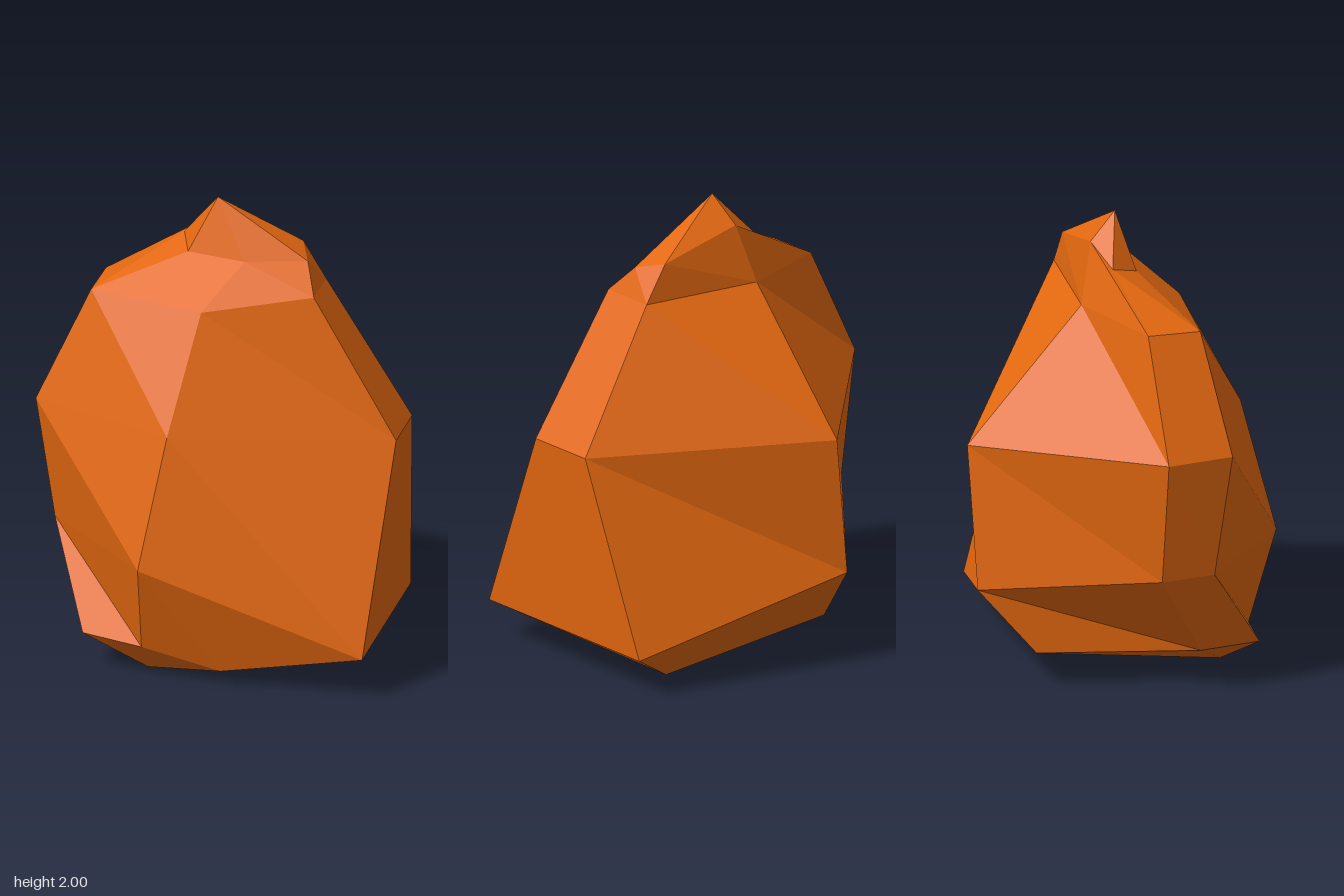
import * as THREE from 'three';

// Six-sided cross-sections from the crown down to the foot.
// Each runs: front left, front, right, back right, back, left as [x, y, z].
const RINGS = [
  [[-0.21, 1.76, 0.11], [0.05, 1.76, 0.04], [0.24, 1.76, -0.15], [0.13, 1.80, -0.24], [-0.21, 1.885, -0.085], [-0.315, 1.80, 0.02]],
  [[-0.49, 1.60, 0.41], [0.015, 1.585, 0.27], [0.34, 1.64, -0.08], [0.22, 1.64, -0.285], [-0.295, 1.63, -0.115], [-0.60, 1.61, 0.20]],
  [[-0.665, 1.105, 0.565], [0.055, 1.10, 0.525], [0.685, 1.045, -0.22], [0.53, 1.045, -0.485], [-0.54, 1.07, -0.575], [-0.815, 1.105, 0.31]],
  [[-0.63, 0.56, 0.485], [0.03, 0.535, 0.68], [0.81, 0.18, 0.125], [0.34, 0.18, -0.68], [-0.595, 0.44, -0.525], [-0.75, 0.56, 0.275]],
  [[-0.32, 0.155, 0.645], [-0.05, 0.14, 0.57], [0.24, 0.055, 0.39], [0.175, 0.015, -0.46], [-0.55, 0.15, -0.28], [-0.46, 0.155, 0.41]],
];
const TIP = [-0.13, 2.0, 0.01];
const FOOT = [-0.12, 0.0, 0.455];

// Joins the rings with quads and closes both ends with fans.
function loft(rings, top, bottom) {
  const n = rings[0].length;
  const last = rings.length - 1;
  const positions = [];
  const tri = (a, b, c) => positions.push(...a, ...b, ...c);
  for (let i = 0; i < n; i++) {
    const j = (i + 1) % n;
    tri(top, rings[0][i], rings[0][j]);
    for (let r = 0; r < last; r++) {
      const [a, b, c, d] = [rings[r][j], rings[r][i], rings[r + 1][i], rings[r + 1][j]];
      tri(a, b, d);
      tri(b, c, d);
    }
    tri(bottom, rings[last][j], rings[last][i]);
  }
  const geometry = new THREE.BufferGeometry();
  geometry.setAttribute('position', new THREE.Float32BufferAttribute(positions, 3));
  geometry.computeVertexNormals();
  return geometry;
}

export function createModel() {
  const model = new THREE.Group();
  model.name = 'rock';

  const orange = new THREE.MeshStandardMaterial({ color: 0xe2670f, flatShading: true });
  orange.name = 'orange stone';

  // Faceted boulder body
  const boulder = new THREE.Mesh(loft(RINGS, TIP, FOOT), orange);
  boulder.name = 'boulder';
  model.add(boulder);

  return model;
}
